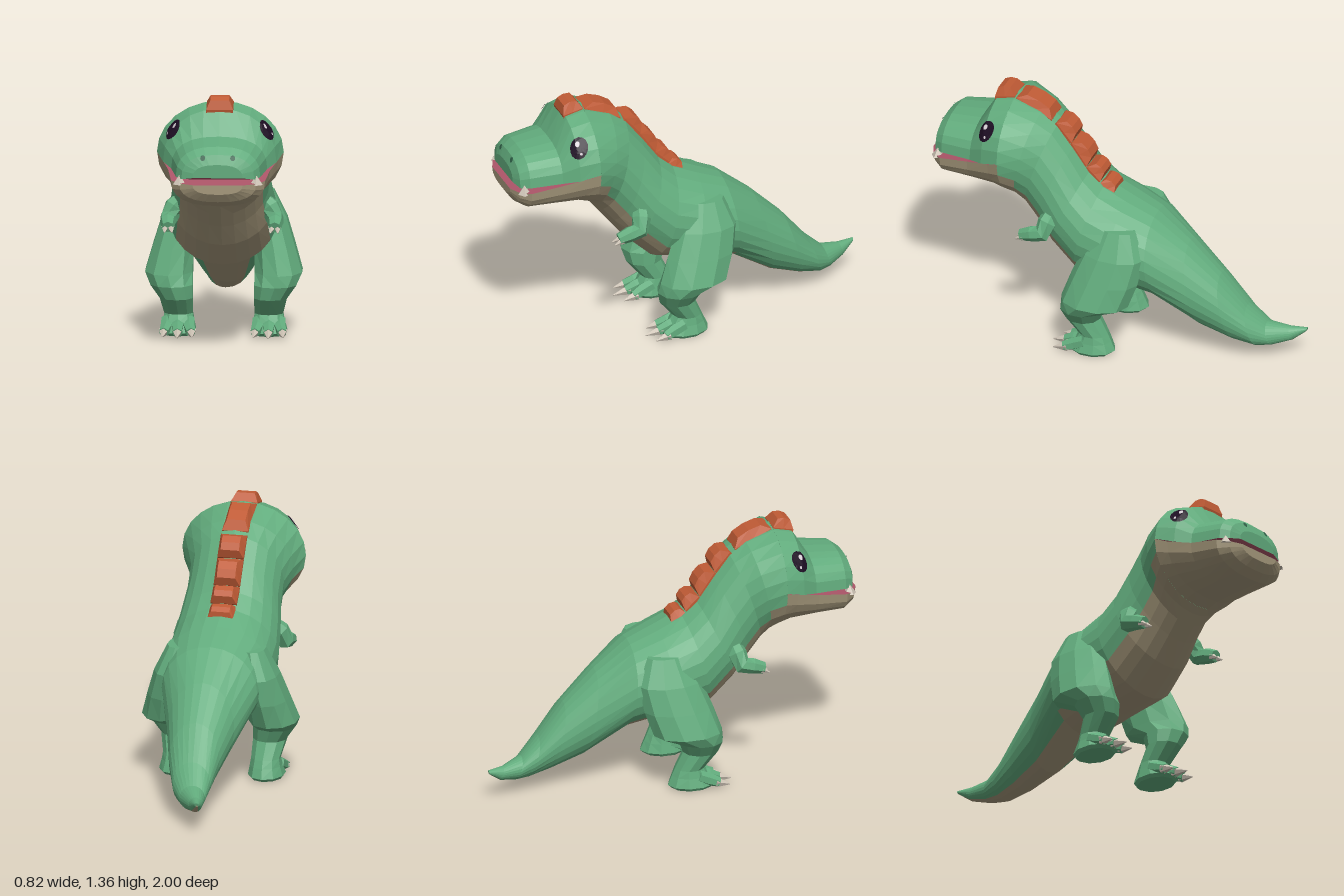
import * as THREE from 'three';

const V = (x, y, z) => new THREE.Vector3(x, y, z);
const mat = (name, color) => {
  const m = new THREE.MeshStandardMaterial({ color, flatShading: true });
  m.name = name;
  return m;
};

// Ring of points around c: starts at u, turns towards v; p < 1 makes it squarer
function ring(c, u, v, n, p = 1, from = 0, to = Math.PI * 2, closed = true) {
  const f = (t) => Math.sign(t) * Math.pow(Math.abs(t) < 1e-6 ? 0 : Math.abs(t), p);
  const out = [];
  for (let j = 0; j < (closed ? n : n + 1); j++) {
    const a = from + ((to - from) * j) / n;
    out.push(c.clone().addScaledVector(u, f(Math.cos(a))).addScaledVector(v, f(Math.sin(a))));
  }
  return out;
}

// Skin closed rings, with end caps; pick(i, j) gives the material index of a face
function loft(rings, pick = () => 0) {
  const lists = [[], []];
  const n = rings[0].length, last = rings.length - 1;
  const tri = (k, ...pts) => pts.forEach((q) => lists[k].push(q.x, q.y, q.z));
  const middle = (r) => r.reduce((s, q) => s.add(q), V(0, 0, 0)).divideScalar(n);
  const m0 = middle(rings[0]), m1 = middle(rings[last]);
  for (let j = 0; j < n; j++) {
    const j2 = (j + 1) % n;
    for (let i = 0; i < last; i++) {
      const a = rings[i][j], b = rings[i][j2], c = rings[i + 1][j2], d = rings[i + 1][j];
      tri(pick(i, j), a, d, c);
      tri(pick(i, j), a, c, b);
    }
    tri(pick(0, j) && n > 20 ? 1 : 0, m0, rings[0][j], rings[0][j2]);
    tri(0, m1, rings[last][j2], rings[last][j]);
  }
  const g = new THREE.BufferGeometry();
  g.setAttribute('position', new THREE.Float32BufferAttribute([...lists[0], ...lists[1]], 3));
  g.addGroup(0, lists[0].length / 3, 0);
  if (lists[1].length) g.addGroup(lists[0].length / 3, lists[1].length / 3, 1);
  g.computeVertexNormals();
  return g;
}

// Round limb along points [x, y, z, radius]
function limb(pts, sides = 7) {
  const P = pts.map((q) => V(q[0], q[1], q[2]));
  return loft(P.map((c, i) => {
    const d = P[Math.min(i + 1, P.length - 1)].clone().sub(P[Math.max(i - 1, 0)]).normalize();
    const v = V(1, 0, 0).addScaledVector(d, -d.x).normalize();
    const u = d.clone().cross(v);
    return ring(c, u.multiplyScalar(pts[i][3]), v.multiplyScalar(pts[i][3]), sides);
  }));
}

function mirror(geo) {
  const g = geo.clone(), p = g.attributes.position;
  for (let i = 0; i < p.count; i += 3) {
    const [a, b, c] = [0, 1, 2].map((k) => V(-p.getX(i + k), p.getY(i + k), p.getZ(i + k)));
    [a, c, b].forEach((q, k) => p.setXYZ(i + k, q.x, q.y, q.z));
  }
  g.computeVertexNormals();
  return g;
}

// Thin oval patch laid on the surface of a mesh
function patch(target, at, normal, rx, ry, lift) {
  const n = normal.clone().normalize();
  const g = new THREE.RingGeometry(0.0001, 1, 14, 4).toNonIndexed();
  g.scale(rx, ry, 1);
  g.applyMatrix4(new THREE.Matrix4().lookAt(n, V(0, 0, 0), V(0, 1, 0)).setPosition(at));
  const p = g.attributes.position, ray = new THREE.Raycaster();
  for (let i = 0; i < p.count; i++) {
    const q = V(0, 0, 0).fromBufferAttribute(p, i);
    ray.set(q.clone().addScaledVector(n, 0.3), n.clone().negate());
    const hit = ray.intersectObject(target)[0];
    if (hit) q.copy(hit.point);
    q.addScaledVector(n, lift);
    p.setXYZ(i, q.x, q.y, q.z);
  }
  g.computeVertexNormals();
  return g;
}

export function createModel() {
  const model = new THREE.Group();
  model.name = 'dinosaur';
  const green = mat('skin green', 0x62ac7d), cream = mat('belly tan', 0xa4977a);
  const orange = mat('crest orange', 0xc05b35), bone = mat('claw ivory', 0xcdc3b5);
  const pink = mat('mouth pink', 0xac5568), black = mat('eye black', 0x1c0c22);
  const dark = mat('nostril green', 0x2f6148), white = mat('eye glint', 0xd8d0d6);
  const add = (name, geo, m) => {
    const mesh = new THREE.Mesh(geo, m);
    mesh.name = name;
    model.add(mesh);
    return mesh;
  };
  const pair = (name, geo, m) => {
    add(name + 'Left', geo, m);
    add(name + 'Right', mirror(geo), m);
  };

  // Tail, trunk and neck: [top z, top y, bottom z, bottom y, half width, centre x, first belly face]
  const trunk = [
    [-1, 0.175, -0.995, 0.155, 0.012, -0.11, 10], [-0.91, 0.178, -0.93, 0.105, 0.035, -0.085, 10],
    [-0.8, 0.205, -0.84, 0.083, 0.068, -0.045, 10], [-0.7, 0.3, -0.77, 0.08, 0.1, -0.02, 10],
    [-0.56, 0.47, -0.65, 0.105, 0.135, -0.005, 10], [-0.39, 0.635, -0.48, 0.165, 0.18, 0, 10],
    [-0.21, 0.775, -0.25, 0.31, 0.255, 0, 9], [-0.06, 0.84, 0, 0.36, 0.29, 0, 8],
    [0.07, 0.9, 0.2, 0.39, 0.285, 0, 8], [0.15, 0.97, 0.34, 0.52, 0.27, 0, 8],
    [0.24, 1.1, 0.43, 0.635, 0.25, 0, 8], [0.33, 1.215, 0.49, 0.71, 0.25, 0, 8],
    [0.42, 1.275, 0.53, 0.76, 0.285, 0, 7], [0.57, 1.33, 0.565, 0.79, 0.33, 0, 7],
  ];
  add('body', loft(
    trunk.map(([tz, ty, bz, by, w, cx]) =>
      ring(V(cx, (ty + by) / 2, (tz + bz) / 2), V(0, (ty - by) / 2, (tz - bz) / 2), V(w, 0, 0), 24)),
    (i, j) => (j >= trunk[i][6] && j < 24 - trunk[i][6] ? 1 : 0)), [green, cream]);

  // Upper head and snout, closed below by the palate: [z, half width, lip y, top y, squareness]
  const half = (rows, a, b) => loft(
    rows.map(([z, w, y, h, p]) =>
      ring(V(0, y, z), V(0, Math.abs(h - y), 0), V(w, 0, 0), 12, p, a, b, false)),
    (i, j) => (j === 12 ? 1 : 0));
  const head = add('upperHead', half([
    [0.568, 0.33, 1.06, 1.33, 1], [0.67, 0.295, 1.025, 1.305, 0.92], [0.75, 0.25, 1.005, 1.175, 0.8],
    [0.92, 0.22, 0.995, 1.155, 0.8], [0.965, 0.19, 0.99, 1.12, 0.8], [0.985, 0.13, 1, 1.07, 0.8],
  ], -Math.PI / 2, Math.PI / 2), [green, pink]);

  // Lower jaw, closed above by the mouth floor
  add('lowerJaw', half([
    [0.566, 0.33, 1.06, 0.79, 1], [0.63, 0.305, 1.035, 0.815, 0.95], [0.76, 0.265, 1, 0.828, 0.85],
    [0.92, 0.245, 0.975, 0.84, 0.8], [0.97, 0.2, 0.968, 0.87, 0.8], [1, 0.13, 0.965, 0.915, 0.8],
  ], Math.PI / 2, Math.PI * 1.5), [cream, pink]);

  // Corner teeth
  const tooth = new THREE.ConeGeometry(0.036, 0.05, 5).toNonIndexed();
  tooth.translate(0.2, 0.985, 0.945);
  pair('tooth', tooth, bone);

  // Eyes with glints, and nostrils
  const look = V(0.75, 0.36, 0.5);
  pair('eye', patch(head, V(0.245, 1.195, 0.66), look, 0.048, 0.058, 0.005), black);
  pair('eyeGlint', patch(head, V(0.25, 1.222, 0.675), look, 0.012, 0.015, 0.009), white);
  pair('eyeSmallGlint', patch(head, V(0.255, 1.165, 0.645), look, 0.007, 0.008, 0.009), white);
  pair('nostril', patch(head, V(0.078, 1.103, 0.97), V(0, 0.2, 1), 0.013, 0.015, 0.004), dark);

  // Crest plates along the back: [front z, front y, rear z, rear y, height]
  [
    [0.68, 1.3, 0.57, 1.325, 0.055], [0.56, 1.325, 0.36, 1.235, 0.045], [0.335, 1.22, 0.25, 1.12, 0.05],
    [0.25, 1.115, 0.165, 0.995, 0.05], [0.165, 0.99, 0.09, 0.92, 0.05], [0.095, 0.91, 0.01, 0.865, 0.035],
  ].forEach(([z1, y1, z2, y2, h], i) => {
    const len = Math.hypot(z1 - z2, y1 - y2), sink = 0.05;
    const g = new THREE.BoxGeometry(0.14, h + sink, len, 2, 2, 2), p = g.attributes.position;
    for (let k = 0; k < p.count; k++) {
      const y = p.getY(k);
      if (y > 0.01) p.setXYZ(k, p.getX(k) * 0.7, p.getZ(k) === 0 ? y : y - 0.008, p.getZ(k) * 0.62);
    }
    g.translate(0, (h - sink) / 2, 0);
    g.rotateX(Math.atan2(y2 - y1, z1 - z2));
    g.translate(0, (y1 + y2) / 2, (z1 + z2) / 2);
    g.computeVertexNormals();
    add('crestPlate' + (i + 1), g, orange);
  });

  // Legs, from hip down to sole: [y, centre x, centre z, half width, half depth]
  const leg = [
    [0.74, 0.2, -0.06, 0.06, 0.1], [0.6, 0.235, -0.05, 0.095, 0.17], [0.46, 0.265, -0.01, 0.11, 0.185],
    [0.33, 0.285, 0.035, 0.13, 0.185], [0.27, 0.27, 0.11, 0.115, 0.12], [0.2, 0.245, 0.115, 0.09, 0.095],
    [0.11, 0.235, 0.058, 0.078, 0.078], [0.07, 0.235, 0.062, 0.085, 0.1], [0.02, 0.237, 0.07, 0.097, 0.13],
    [0.003, 0.237, 0.07, 0.085, 0.11],
  ];
  pair('leg', loft(leg.map(([y, x, z, w, d]) => ring(V(x, y, z), V(0, 0, d), V(w, 0, 0), 10))), green);

  // Toes and claws
  [-1, 0, 1].forEach((k) => {
    const x = 0.237 + k * 0.058, f = 0.015 * Math.abs(k), out = k * 0.012;
    pair('toe', limb([[x, 0.075, 0.09, 0.032], [x, 0.05, 0.16 - f, 0.034],
      [x + out, 0.03, 0.215 - f, 0.026]], 6), green);
    pair('toeClaw', limb([[x + out, 0.034, 0.195 - f, 0.029],
      [x + out * 1.6, 0.016, 0.285 - f * 2, 0.003]], 5), bone);
  });

  // Small arms with claws
  pair('arm', limb([[0.2, 0.77, 0.3, 0.04], [0.25, 0.72, 0.315, 0.052], [0.275, 0.665, 0.335, 0.048],
    [0.28, 0.655, 0.39, 0.042], [0.278, 0.635, 0.45, 0.032]]), green);
  [-1, 1].forEach((k) => pair('handClaw', limb([[0.278 + k * 0.015, 0.632, 0.435, 0.02],
    [0.275 + k * 0.02, 0.612, 0.478, 0.003]], 5), bone));

  return model;
}
